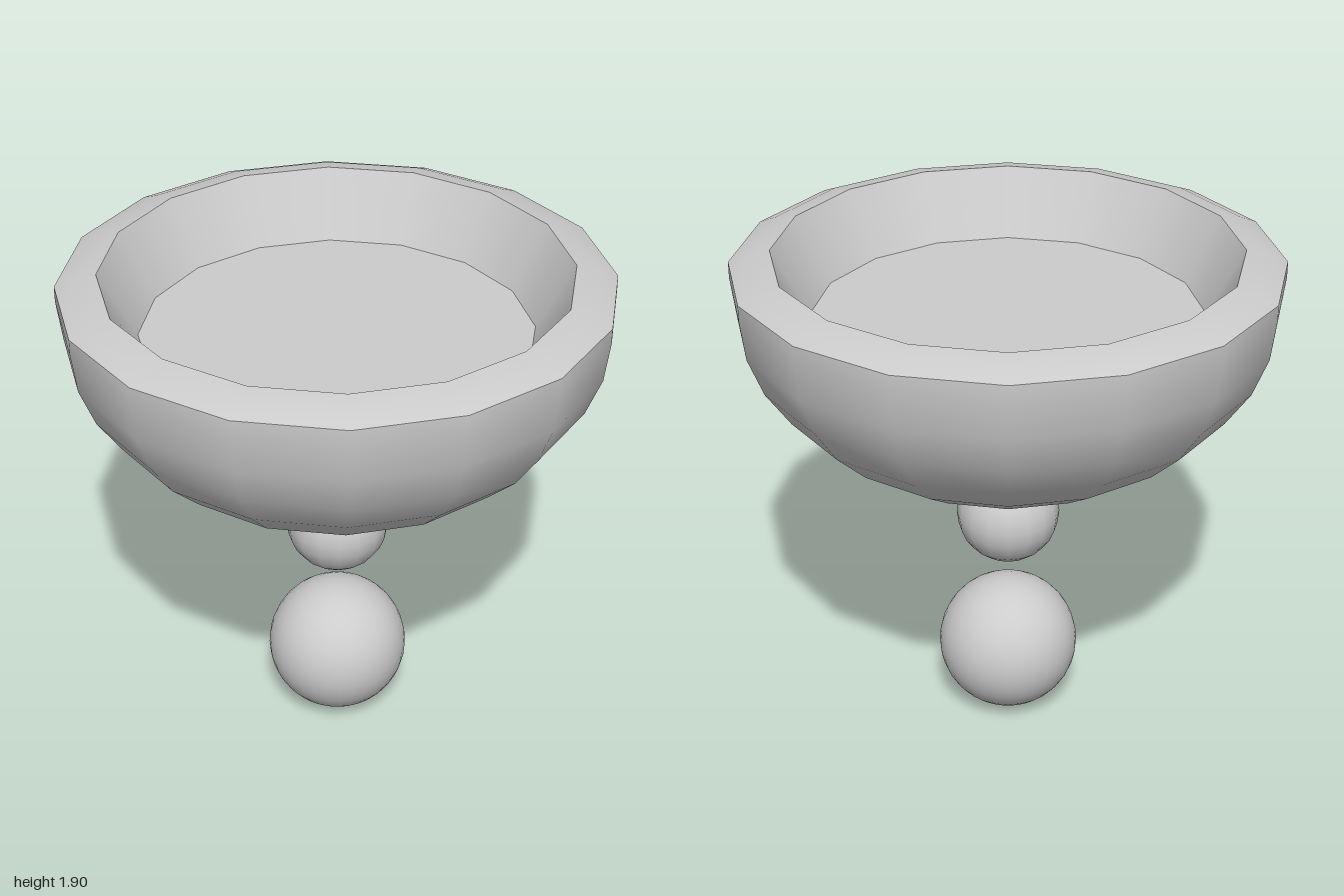
import * as THREE from 'three';

const material = new THREE.MeshStandardMaterial({ color: 0xcccccc });

function add(parent, name, geometry, y = 0) {
  const mesh = new THREE.Mesh(geometry, material);
  mesh.name = name;
  mesh.position.y = y;
  parent.add(mesh);
}

// Sixteen-sided turned surface from [radius, height] pairs
const turned = (points) =>
  new THREE.LatheGeometry(points.map(([r, y]) => new THREE.Vector2(r, y)), 16);

export function createModel() {
  const model = new THREE.Group();

  // Bowl: separate surfaces keep the rim and floor edges sharp
  const bowl = new THREE.Group();
  bowl.name = 'bowl';
  model.add(bowl);

  const shell = [];
  const steps = 8;
  for (let i = 0; i <= steps; i++) {
    const a = (i / steps) * Math.PI / 2;
    shell.push([Math.sin(a), 1.8 - 0.77 * Math.cos(a)]);
  }
  shell.push([1, 1.86]);
  add(bowl, 'bowlShell', turned(shell));
  add(bowl, 'bowlRim', turned([[1, 1.86], [0.93, 1.89], [0.85, 1.905]]));
  add(bowl, 'bowlInnerWall', turned([[0.85, 1.905], [0.715, 1.66]]));
  add(bowl, 'bowlFloor', turned([[0.715, 1.66], [0, 1.66]]));

  // Balls below the bowl
  add(model, 'smallBall', new THREE.SphereGeometry(0.195, 16, 12), 0.84);
  add(model, 'largeBall', new THREE.SphereGeometry(0.267, 32, 20), 0.267);

  return model;
}
